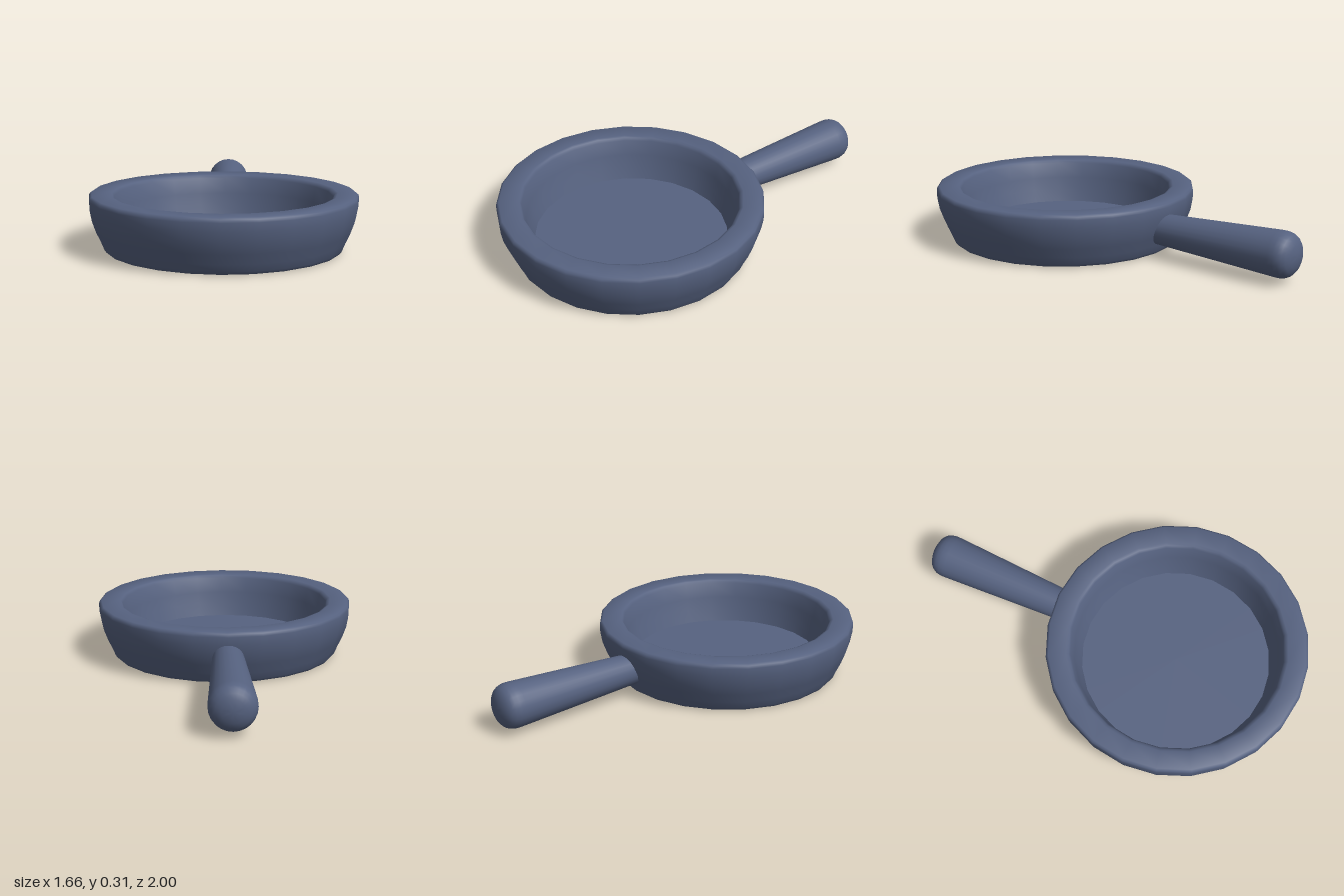
import * as THREE from 'three';
import { toCreasedNormals } from 'three/addons/utils/BufferGeometryUtils.js';

const SIDES = 24;

// Turned part from [radius, height] pairs, keeping hard corners sharp
function turned(points) {
  const profile = points.map(([r, y]) => new THREE.Vector2(r, y));
  return toCreasedNormals(new THREE.LatheGeometry(profile, SIDES), 0.85);
}

export function createModel() {
  const castIron = new THREE.MeshStandardMaterial({ color: 0x566280 });
  castIron.name = 'blue grey iron';

  const model = new THREE.Group();
  model.name = 'fryingPan';

  // Pan and handle share one axis system, turned so the handle points back and to the left
  const pan = new THREE.Group();
  pan.name = 'pan';
  pan.position.set(-0.11, 0, 0.275);
  pan.rotation.y = THREE.MathUtils.degToRad(-35);
  model.add(pan);

  // Bowl: underside, curved outer wall, rounded rim, sloping inner wall, floor
  const bowl = new THREE.Mesh(turned([
    [0, 0], [0.62, 0], [0.637, 0.005], [0.648, 0.02], [0.664, 0.06],
    [0.69, 0.115], [0.712, 0.175], [0.723, 0.235], [0.725, 0.28],
    [0.722, 0.296], [0.71, 0.305], [0.612, 0.305], [0.598, 0.3],
    [0.588, 0.285], [0.57, 0.2], [0.55, 0.125], [0.531, 0.06], [0, 0.06],
  ]), castIron);
  bowl.name = 'bowl';
  pan.add(bowl);

  // Handle: widens outward to a domed end
  const handleGeometry = turned([
    [0, 0.64], [0.084, 0.64], [0.122, 1.405], [0.122, 1.435], [0.117, 1.459],
    [0.106, 1.479], [0.088, 1.495], [0.06, 1.507], [0.03, 1.514], [0, 1.516],
  ]);
  handleGeometry.rotateX(-Math.PI / 2);
  const handle = new THREE.Mesh(handleGeometry, castIron);
  handle.name = 'handle';
  handle.position.y = 0.148;
  pan.add(handle);

  return model;
}
